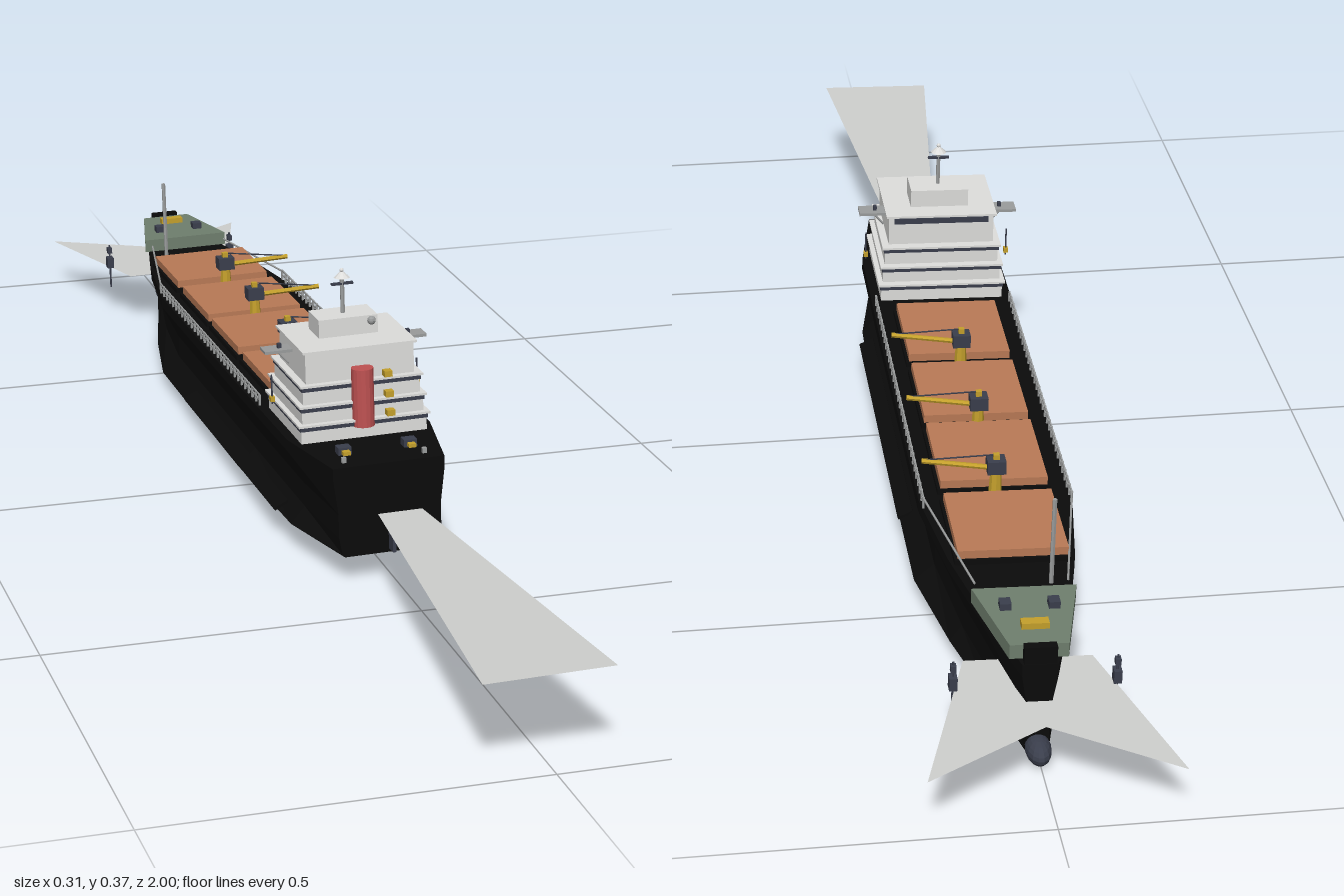
import * as THREE from 'three';

const mat = (name, color, extra = {}) => {
  const m = new THREE.MeshStandardMaterial({ color, flatShading: true, ...extra });
  m.name = name;
  return m;
};

export function createModel() {
  const black = mat('hull black', 0x0b0b0b);
  const white = mat('house white', 0xdededc);
  const brown = mat('hatch brown', 0xb97a56);
  const green = mat('deck green', 0x6f7f6e);
  const red = mat('funnel red', 0xbf5252);
  const yellow = mat('crane yellow', 0xc4a02c);
  const navy = mat('dark fittings', 0x3a3e4c);
  const grey = mat('steel grey', 0x9a9c9c);
  const foam = mat('foam grey', 0xcfd0ce, { side: THREE.DoubleSide });

  const ship = new THREE.Group();
  ship.name = 'ship';
  const add = (name, geo, m, x = 0, y = 0, z = 0) => {
    const mesh = new THREE.Mesh(geo, m);
    mesh.name = name;
    mesh.position.set(x, y, z);
    ship.add(mesh);
    return mesh;
  };
  // box given by its centre in x and z and its bottom and top heights
  const box = (name, m, x, y0, y1, z, w, d) =>
    add(name, new THREE.BoxGeometry(w, y1 - y0, d), m, x, (y0 + y1) / 2, z);
  const rod = (name, m, r, a, b) => {
    const p = new THREE.Vector3(...a), q = new THREE.Vector3(...b);
    const mesh = add(name, new THREE.CylinderGeometry(r, r, p.distanceTo(q), 6), m);
    mesh.position.copy(p).add(q).multiplyScalar(0.5);
    mesh.quaternion.setFromUnitVectors(new THREE.Vector3(0, 1, 0), q.sub(p).normalize());
    return mesh;
  };
  const plate = (name, pts, y) => {
    const shape = new THREE.Shape(pts.map(([x, z]) => new THREE.Vector2(x, -z)));
    add(name, new THREE.ShapeGeometry(shape).rotateX(-Math.PI / 2), foam, 0, y, 0);
  };
  const DECK = 0.124;

  // hull: z, half widths at deck, waist and bottom
  const stations = [
    [0.385, 0.076, 0.07, 0.066], [0.25, 0.1, 0.078, 0.098], [0, 0.101, 0.078, 0.105],
    [-0.45, 0.1, 0.077, 0.103], [-0.6, 0.08, 0.06, 0.075], [-0.72, 0.055, 0.038, 0.045],
    [-0.845, 0.022, 0.014, 0.014],
  ];
  const pos = [], idx = [];
  for (const [z, d, w, b] of stations) {
    const half = [[b * 0.95, 0], [b, 0.004], [w, 0.027], [w, 0.06], [d, 0.108], [d, DECK]];
    const ring = [...half, ...half.map(([x, y]) => [-x, y]).reverse()];
    ring.forEach(([x, y]) => pos.push(x, y, z));
  }
  const n = 12, last = (stations.length - 1) * n;
  for (let i = 0; i < stations.length - 1; i++) for (let j = 0; j < n; j++) {
    const a = i * n + j, b = i * n + (j + 1) % n;
    idx.push(a, a + n, b, b, a + n, b + n);
  }
  const c = pos.length / 3;
  pos.push(0, 0.05, 0.385, 0, 0.05, -0.845);
  for (let j = 0; j < n; j++) {
    const k = (j + 1) % n;
    idx.push(c, j, k, c + 1, last + k, last + j);
  }
  const hull = new THREE.BufferGeometry();
  hull.setAttribute('position', new THREE.Float32BufferAttribute(pos, 3));
  hull.setIndex(idx);
  hull.computeVertexNormals();
  add('hull', hull, black);
  add('bulbousBow', new THREE.SphereGeometry(0.016, 14, 10).scale(1, 1, 1.9), navy, 0, 0.009, -0.852);
  box('rudder', navy, 0, 0.005, 0.045, 0.39, 0.005, 0.025);
  box('bowBulwark', black, 0, DECK, 0.147, -0.838, 0.04, 0.012);

  // water: bow wave and wake
  plate('bowWave', [[-0.153, -1], [0, -0.9], [0.153, -1], [0.08, -0.75], [-0.08, -0.75]], 0.072);
  plate('wake', [[-0.03, 0.43], [0.03, 0.43], [0.082, 1], [-0.082, 1]], 0.072);

  // cargo hatches with coaming and panel seams
  [[-0.61, -0.465], [-0.435, -0.28], [-0.26, -0.11], [-0.085, 0.07]].forEach(([a, b]) => {
    const z = (a + b) / 2, d = b - a;
    box('hatchCoaming', black, 0, DECK, 0.131, z, 0.148, d + 0.008);
    box('hatchCover', brown, 0, 0.131, 0.142, z, 0.14, d);
  });

  // deck cranes
  [-0.08, -0.26, -0.43].forEach((z0) => {
    const z = z0 - 0.015;
    add('cranePost', new THREE.CylinderGeometry(0.007, 0.009, 0.038, 8), yellow, 0, DECK + 0.019, z);
    box('craneCab', navy, 0, 0.16, 0.178, z, 0.024, 0.022);
    box('craneCap', yellow, 0, 0.178, 0.185, z, 0.008, 0.008);
    rod('craneJib', yellow, 0.0035, [0.01, 0.166, z], [0.095, 0.172, z + 0.012]);
    rod('craneCable', navy, 0.001, [0, 0.184, z], [0.095, 0.173, z + 0.012]);
  });

  // forecastle: trapezoid block with winches
  const fore = new THREE.Shape([[-0.065, 0.7], [0.065, 0.7], [0.036, 0.83], [-0.036, 0.83]]
    .map(([x, y]) => new THREE.Vector2(x, y)));
  add('forecastle', new THREE.ExtrudeGeometry(fore, { depth: 0.019, bevelEnabled: false })
    .rotateX(-Math.PI / 2), green, 0, DECK, 0);
  box('windlass', yellow, 0, 0.143, 0.151, -0.79, 0.034, 0.014);

  // mirrored fittings
  for (const s of [-1, 1]) {
    box('foreWinch', navy, s * 0.03, 0.143, 0.152, -0.745, 0.014, 0.016);
    box('sternWinch', navy, s * 0.045, DECK, 0.134, 0.33, 0.018, 0.016);
    box('winchDrum', yellow, s * 0.045, 0.126, 0.131, 0.342, 0.01, 0.01);
    box('sternBollard', grey, s * 0.055, DECK, 0.131, 0.365, 0.006, 0.006);
    const keel = box('bilgeKeel', black, s * 0.097, 0.011, 0.015, -0.05, 0.022, 0.5);
    keel.rotation.z = -s * 0.45;

    // anchors hanging beside the bow
    rod('anchorChain', navy, 0.0015, [s * 0.1, 0.04, -0.81], [s * 0.1, 0.11, -0.81]);
    box('anchorHead', navy, s * 0.1, 0.097, 0.106, -0.81, 0.007, 0.009);
    box('anchorCrown', navy, s * 0.1, 0.073, 0.09, -0.81, 0.01, 0.014);

    // side railing
    for (const y of [0.131, 0.138]) box('rail', grey, s * 0.096, y, y + 0.002, -0.185, 0.002, 0.57);
    for (let i = 0; i <= 30; i++)
      box('railPost', grey, s * 0.096, DECK, 0.14, -0.47 + i * 0.019, 0.003, 0.003);
    rod('foreRail', grey, 0.0015, [s * 0.096, 0.138, -0.47], [s * 0.058, 0.138, -0.68]);

    // bridge wing supports and hanging gear
    rod('wingStrut', grey, 0.0015, [s * 0.077, 0.21, 0.19], [s * 0.095, 0.23, 0.19]);
    rod('davitCable', navy, 0.0012, [s * 0.102, 0.155, 0.19], [s * 0.102, 0.196, 0.19]);
    box('davitBlock', yellow, s * 0.102, 0.159, 0.166, 0.19, 0.006, 0.008);
    box('wingLamp', navy, s * 0.09, 0.233, 0.239, 0.19, 0.005, 0.006);
  }

  // deckhouse tiers: bottom, top, half width, front and aft z
  [[DECK, 0.15, 0.087, 0.115, 0.277], [0.15, 0.175, 0.084, 0.122, 0.273],
    [0.175, 0.202, 0.081, 0.129, 0.269], [0.202, 0.247, 0.075, 0.138, 0.264]].forEach(([a, b, w, f, r], i) => {
    const z = (f + r) / 2, d = r - f, top = i === 3;
    box('houseTier', white, 0, a, b, z, w * 2, d);
    box('deckEdge', white, 0, b - 0.003, b, z, w * 2 + 0.008, d + 0.008);
    const y = top ? 0.226 : b - 0.009;
    if (!top) box('windowBand', navy, 0, y, b - 0.003, z, w * 2 + 0.003, d + 0.003);
    else box('bridgeWindows', navy, 0, 0.234, 0.242, f, w * 1.8, 0.004);
    if (i < 3) box('stairLanding', yellow, 0.036, b + 0.001, b + 0.009, r + 0.001, 0.011, 0.012);
  });
  box('bridgeWing', grey, 0, 0.229, 0.233, 0.19, 0.226, 0.026);
  box('upperHouse', white, 0, 0.247, 0.272, 0.19, 0.082, 0.05);
  add('searchlight', new THREE.SphereGeometry(0.006, 8, 6), grey, 0.032, 0.265, 0.216);
  add('funnel', new THREE.CylinderGeometry(0.015, 0.015, 0.08, 16), red, 0, 0.18, 0.274);

  // radar mast
  rod('radarMast', grey, 0.003, [0, 0.27, 0.19], [0, 0.325, 0.19]);
  box('radarBar', navy, 0, 0.311, 0.314, 0.19, 0.03, 0.005);
  add('radarDome', new THREE.ConeGeometry(0.011, 0.01, 10), white, 0, 0.326, 0.19);
  add('mastTip', new THREE.SphereGeometry(0.003, 8, 6), white, 0, 0.331, 0.19);

  // foremast
  rod('foremast', grey, 0.003, [-0.04, DECK, -0.663], [-0.04, 0.243, -0.663]);

  // slight list, pitch and heading of the ship
  ship.rotation.set(-0.025, -0.005, 0.024);
  ship.position.set(-0.003, 0.028, 0);
  const model = new THREE.Group();
  model.name = 'cargoShip';
  model.add(ship);
  return model;
}
